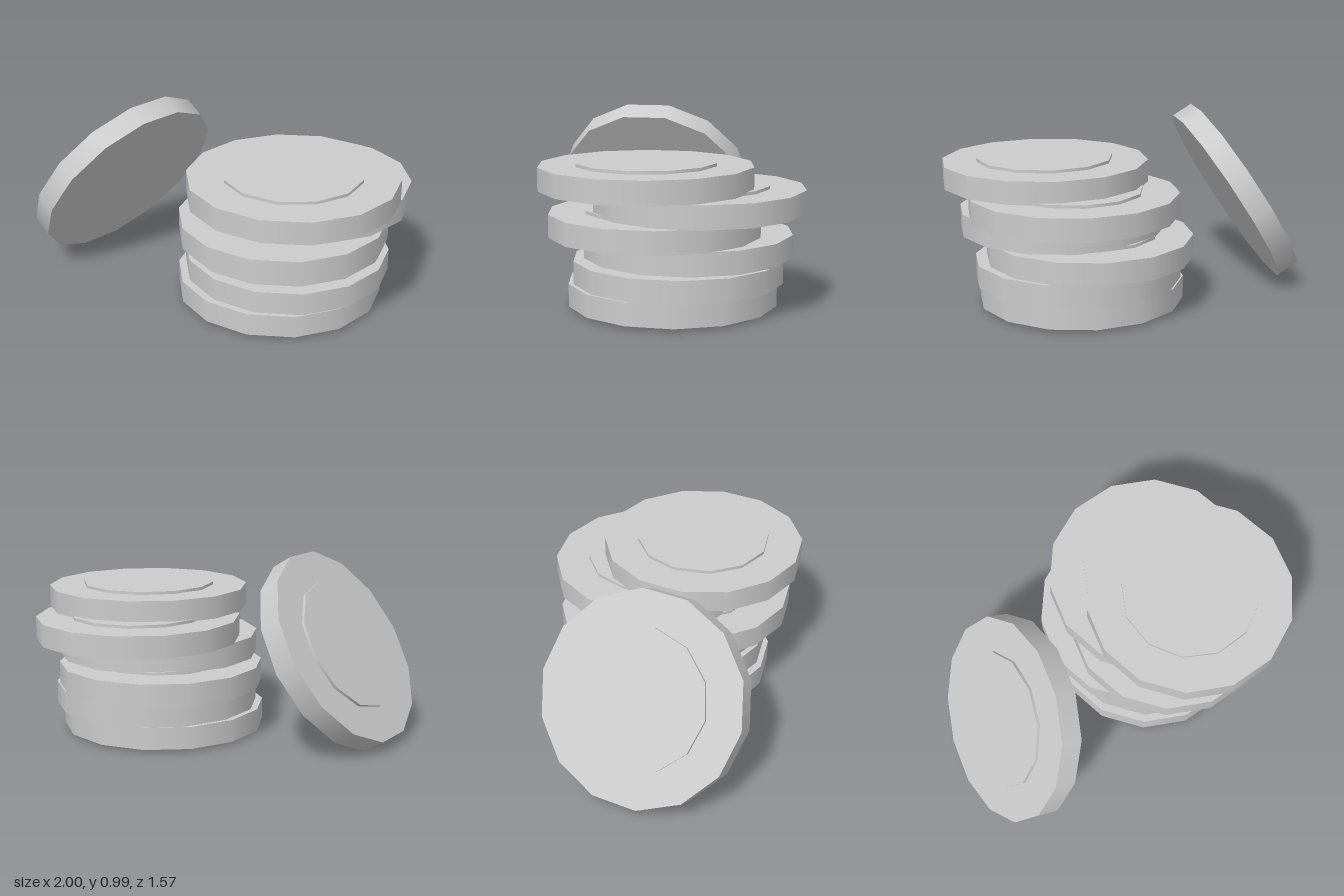
import * as THREE from 'three';

const RADIUS = 0.557, THICKNESS = 0.121;

export function createModel() {
  const model = new THREE.Group();
  model.name = 'coinStack';
  const grey = new THREE.MeshStandardMaterial({ color: 0xcccccc });
  grey.name = 'light grey';

  const bodyGeometry = new THREE.CylinderGeometry(RADIUS, RADIUS, THICKNESS, 14);
  const reliefGeometry = new THREE.CylinderGeometry(0.368, 0.368, 0.03, 12);

  // One coin: a 14-sided disc with a slightly raised 12-sided centre on top
  function addCoin(name, x, y, z, tilt = 0) {
    const coin = new THREE.Group();
    coin.name = name;
    const body = new THREE.Mesh(bodyGeometry, grey);
    body.name = 'coinBody';
    const relief = new THREE.Mesh(reliefGeometry, grey);
    relief.name = 'raisedCentre';
    relief.position.y = THICKNESS / 2 + 0.001;
    coin.add(body, relief);
    coin.position.set(x, y, z);
    coin.rotation.z = tilt;
    model.add(coin);
  }

  // Untidy stack, bottom to top: x and z of each coin
  const stack = [
    [0.28, -0.073], [0.301, -0.107], [0.243, -0.148],
    [0.37, 0.003], [0.337, -0.226], [0.457, 0.027],
  ];
  stack.forEach(([x, z], i) => addCoin(`stackedCoin${i + 1}`, x, 0.079 + i * 0.1268, z));

  // Coin standing tilted beside the stack
  addCoin('leaningCoin', -0.664, 0.498, 0.228, 1.016);

  return model;
}
